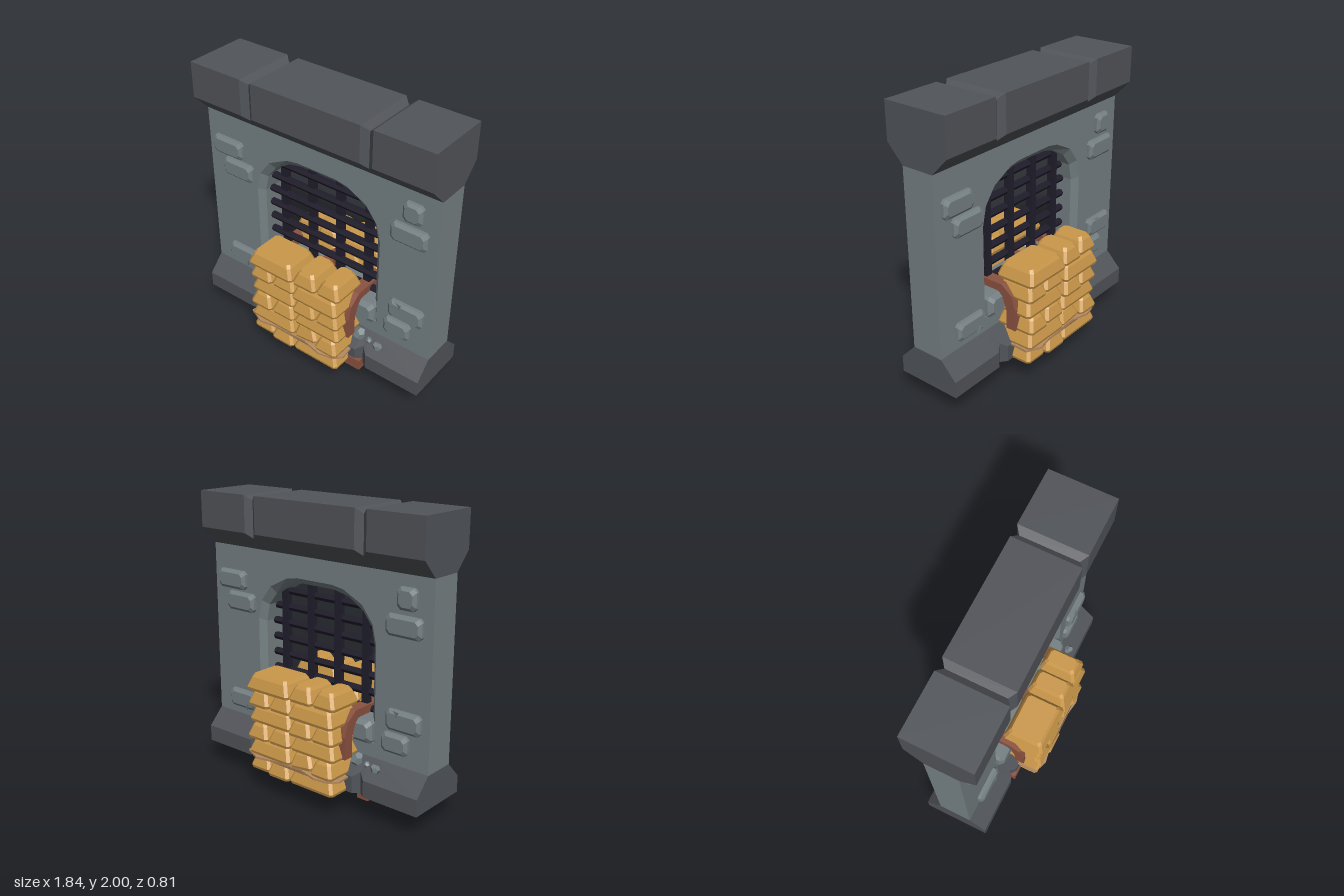
import * as THREE from 'three';

const mat = (name, color) => {
  const m = new THREE.MeshStandardMaterial({ color });
  m.name = name;
  return m;
};

// Faceted skin through closed loops of [x, y, z] points
function loft(sections, caps = true) {
  const out = [];
  const n = sections[0].length;
  const tri = (a, b, c) => out.push(...a, ...b, ...c);
  for (let i = 0; i < sections.length - 1; i++) {
    for (let j = 0; j < n; j++) {
      const k = (j + 1) % n, s = sections[i], t = sections[i + 1];
      tri(s[j], s[k], t[k]);
      tri(s[j], t[k], t[j]);
    }
  }
  if (caps) {
    const s = sections[0], t = sections[sections.length - 1];
    for (let j = 1; j < n - 1; j++) {
      tri(s[0], s[j + 1], s[j]);
      tri(t[0], t[j], t[j + 1]);
    }
  }
  const g = new THREE.BufferGeometry();
  g.setAttribute('position', new THREE.Float32BufferAttribute(out, 3));
  g.computeVertexNormals();
  return g;
}

// Block with cut corners, built along +z; layers are [z, width, height]
function block(layers, c) {
  return loft(layers.map(([z, w, h]) => {
    const a = w / 2, b = h / 2;
    return [[-a + c, -b], [a - c, -b], [a, -b + c], [a, b - c],
      [a - c, b], [-a + c, b], [-a, b - c], [-a, -b + c]].map(([x, y]) => [x, y, z]);
  }));
}

function flat(g) {
  const f = g.index ? g.toNonIndexed() : g;
  f.computeVertexNormals();
  return f;
}

// Arched opening, counter-clockwise
function archLoop(half) {
  return [[-half[0][0], 0.5], [half[0][0], 0.5], ...half,
    ...half.slice().reverse().map(([x, y]) => [-x, y])];
}

export function createModel() {
  const model = new THREE.Group();
  const stone = mat('wall stone', 0x758083);
  const dark = mat('dark stone', 0x515459);
  const sack = mat('sandbag cloth', 0xcb984a);
  const wood = mat('red wood', 0x8b5240);
  const iron = mat('black iron', 0x201d2b);
  const tan = mat('tan cloth', 0xb48a60);

  const add = (parent, name, geometry, material, x = 0, y = 0, z = 0) => {
    const m = new THREE.Mesh(geometry, material);
    m.name = name;
    m.position.set(x, y, z);
    parent.add(m);
    return m;
  };
  const box = (parent, name, material, x0, x1, y0, y1, z0, z1) =>
    add(parent, name, new THREE.BoxGeometry(x1 - x0, y1 - y0, z1 - z0), material,
      (x0 + x1) / 2, (y0 + y1) / 2, (z0 + z1) / 2);

  // Wall slab with an arched opening
  const outer = archLoop([[0.505, 1.15], [0.475, 1.28], [0.39, 1.39], [0.24, 1.465], [0.15, 1.48]]);
  const inner = archLoop([[0.465, 1.13], [0.44, 1.25], [0.37, 1.34], [0.25, 1.415], [0.13, 1.44]]);
  const slab = new THREE.Shape([[-0.92, 0.4], [0.92, 0.4], [0.92, 1.63], [-0.92, 1.63]]
    .map(p => new THREE.Vector2(...p)));
  slab.holes.push(new THREE.Path(outer.map(p => new THREE.Vector2(...p))));
  add(model, 'wall', new THREE.ExtrudeGeometry(slab, { depth: 0.23, bevelEnabled: false }),
    stone, 0, 0, -0.115);
  const at = (loop, z) => loop.map(([x, y]) => [x, y, z]);
  add(model, 'archBevel', loft([at(outer, 0.115), at(inner, 0.075),
    at(inner, -0.075), at(outer, -0.115)], false), stone);

  // Coping and plinth, each with two V grooves
  const stations = [[-0.92, 0], [-0.505, 0], [-0.46, 0.035], [-0.415, 0],
    [0.415, 0], [0.46, 0.035], [0.505, 0], [0.92, 0]];
  const trim = profile => loft(stations.map(([x, d]) => profile(d).map(([y, z]) => [x, y, z])));
  add(model, 'coping', trim(d => [[2 - d, d - 0.23], [2 - d, 0.23 - d], [1.75 - d, 0.23 - d],
    [1.63, 0.115], [1.63, -0.115], [1.75 - d, d - 0.23]]), dark);
  add(model, 'plinth', trim(d => [[0.4, -0.115], [0.4, 0.115], [0.28 + d, 0.23 - d],
    [0.165, 0.23 - d], [0.165, d - 0.23], [0.28 + d, d - 0.23]]), dark);

  // Window sill stone
  add(model, 'sill', block([[-0.165, 0.95, 0.1], [-0.135, 1, 0.155], [0.135, 1, 0.155],
    [0.165, 0.95, 0.1]], 0.02), stone, 0, 0.575, 0);

  // Iron grate
  const grate = new THREE.Group();
  grate.name = 'grate';
  model.add(grate);
  for (const x of [-0.347, -0.116, 0.116, 0.347]) {
    box(grate, 'uprightBar', iron, x - 0.025, x + 0.025, 0.6, Math.abs(x) > 0.2 ? 1.38 : 1.46, -0.022, 0.022);
  }
  for (let i = 0; i < 7; i++) {
    const half = i === 6 ? 0.4 : 0.48;
    const g = flat(new THREE.CylinderGeometry(0.026, 0.026, half * 2, 6).rotateZ(Math.PI / 2));
    add(grate, 'crossBar', g, iron, 0, 0.67 + i * 0.113, 0.012);
  }

  // Wooden saddle bands over the sill
  const right = [[0.2, 0.4], [0.27, 0.4], [0.27, 0.55], [0.24, 0.65], [0.16, 0.71]];
  const under = [[0.12, 0.655], [0.17, 0.61], [0.2, 0.53]];
  const flip = pts => pts.slice().reverse().map(([z, y]) => [-z, y]);
  const band = new THREE.Shape([...right, ...flip(right), ...flip(under), ...under.slice(0)]
    .map(p => new THREE.Vector2(...p)));
  for (const x of [-0.39, -0.04, 0.31]) {
    const g = new THREE.ExtrudeGeometry(band, { depth: 0.08, bevelEnabled: false });
    add(model, 'saddleBand', g.rotateY(Math.PI / 2), wood, x, 0, 0);
  }

  // Timber frame and brackets below
  box(model, 'frontBeam', wood, -0.46, 0.46, 0.12, 0.2, 0.165, 0.238);
  box(model, 'rearBeam', wood, -0.4, 0.4, 0.12, 0.17, 0, 0.06);
  for (const s of [-1, 1]) {
    box(model, 'sideBeam', wood, s * 0.325 - 0.045, s * 0.325 + 0.045, 0.121, 0.17, 0.03, 0.2);
    const leg = new THREE.Shape([[0, 0], [0.06, 0], [0.16, 0.125], [0, 0.125]]
      .map(([z, y]) => new THREE.Vector2(-z, y)));
    const g = new THREE.ExtrudeGeometry(leg, { depth: 0.09, bevelEnabled: false });
    add(model, 'bracket', g.rotateY(Math.PI / 2), wood, s * 0.325 - 0.045, 0, 0);
  }

  // One face of the wall: sandbags, raised stones, cloth and rubble
  const face = new THREE.Group();
  face.name = 'frontFace';
  const splits = [[-0.37, -0.19, 0, 0.37], [-0.37, 0, 0.19, 0.37]];
  for (let row = 0; row < 6; row++) {
    const xs = splits[row % 2];
    for (let i = 0; i < 3; i++) {
      const w = xs[i + 1] - xs[i], d = 0.28 + 0.012 * ((row + i * 2) % 3 - 1);
      const low = row === 1 && i === 1;
      const g = block([[0, w - 0.012, d - 0.012], [0.02, w, d], [0.09, w - 0.055, d - 0.045],
        [0.112, w - 0.085, d - 0.075]], 0.018).rotateX(-Math.PI / 2);
      const bag = add(face, 'sandbag', g, sack, (xs[i] + xs[i + 1]) / 2, 0.165 + row * 0.115, 0.1 + d / 2);
      if (low) bag.rotation.z = 0.12;
    }
  }

  const stones = [[-0.865, -0.61, 1.33, 1.46], [-0.785, -0.53, 1.18, 1.31], [-0.785, -0.53, 0.46, 0.59],
    [0.67, 0.81, 1.415, 1.555], [0.59, 0.855, 1.245, 1.38], [0.605, 0.865, 0.64, 0.775], [0.575, 0.775, 0.485, 0.615]];
  for (const [x0, x1, y0, y1] of stones) {
    const w = x1 - x0, h = y1 - y0;
    add(face, 'raisedStone', block([[-0.02, w, h], [0.022, w, h], [0.04, w - 0.04, h - 0.04]], 0.022),
      stone, (x0 + x1) / 2, (y0 + y1) / 2, 0.115);
  }
  // Chips on two stones
  for (const [x, y] of [[-0.61, 0.485], [0.69, 0.755]]) {
    const chip = add(face, 'chip', new THREE.TetrahedronGeometry(0.035), stone, x, y, 0.142);
    chip.rotation.set(0.4, 0.5, 0.3);
  }
  // Rubble on the plinth slope
  for (const [x, y, z, r] of [[0.41, 0.385, 0.17, 0.048], [0.565, 0.36, 0.18, 0.036], [0.49, 0.365, 0.17, 0.025]]) {
    const rock = add(face, 'rubble', new THREE.DodecahedronGeometry(r), stone, x, y, z);
    rock.rotation.set(x * 9, y * 7, 0.4);
    rock.scale.y = 0.85;
  }

  // Wavy cloth between the lower bag rows
  const edge = [[-0.38, 0.2], [-0.39, 0.36], [-0.28, 0.4], [-0.16, 0.38], [-0.04, 0.39],
    [0.1, 0.385], [0.24, 0.405], [0.34, 0.38], [0.395, 0.33], [0.38, 0.2]];
  const cloth = new THREE.ExtrudeGeometry(
    new THREE.Shape(edge.map(([x, z]) => new THREE.Vector2(x, -z))),
    { depth: 0.014, bevelEnabled: false }).rotateX(-Math.PI / 2);
  const p = cloth.attributes.position;
  for (let i = 0; i < p.count; i++) p.setY(i, p.getY(i) + 0.012 * Math.sin(p.getX(i) * 11 + 1));
  add(face, 'cloth', flat(cloth), tan, 0, 0.272, 0);

  // The back repeats the front, turned half round
  const back = face.clone();
  back.name = 'backFace';
  back.rotation.y = Math.PI;
  model.add(face, back);
  return model;
}
